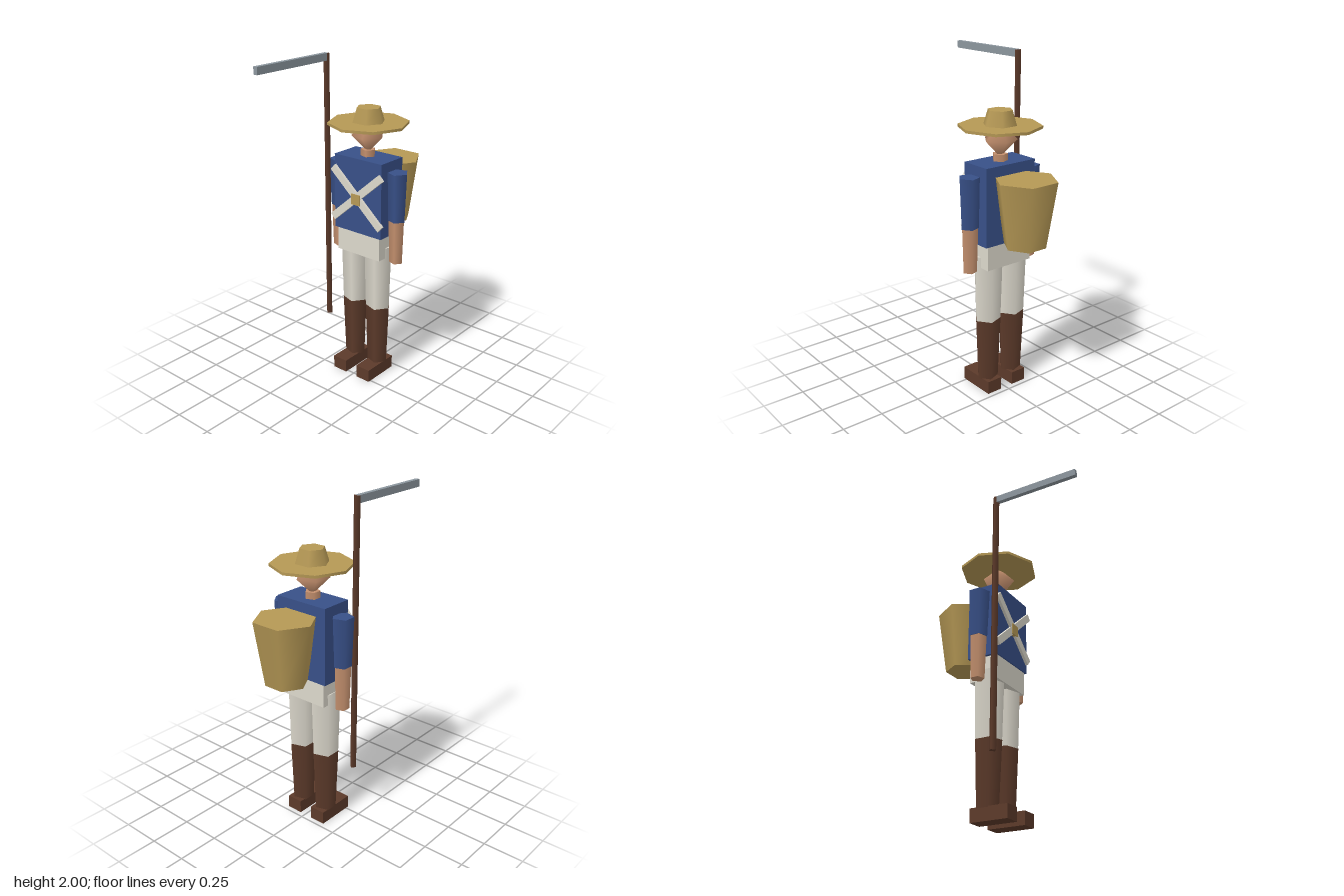
import * as THREE from 'three';

const mat = (name, color) => {
  const m = new THREE.MeshStandardMaterial({ color });
  m.name = name;
  return m;
};

export function createModel() {
  const straw = mat('straw', 0xb59855);
  const blue = mat('blue cloth', 0x385088);
  const cream = mat('cream cloth', 0xdcd8cc);
  const skin = mat('skin', 0xc4906e);
  const brown = mat('brown leather', 0x5c3a2a);
  const steel = mat('steel', 0x8c969e);

  const model = new THREE.Group();
  model.name = 'peasantSoldier';

  // The figure stands slightly off the centre, because of the long blade in front
  const figure = new THREE.Group();
  figure.name = 'figure';
  figure.position.set(-0.007, 0, -0.14);
  model.add(figure);

  const add = (parent, name, geo, material, x, y, z) => {
    const mesh = new THREE.Mesh(geo, material);
    mesh.name = name;
    mesh.position.set(x, y, z);
    parent.add(mesh);
    return mesh;
  };
  const box = (parent, name, material, w, h, d, x, y, z) =>
    add(parent, name, new THREE.BoxGeometry(w, h, d), material, x, y, z);
  // Tapered prism from y0 to y1, with its first corner towards +x
  const prism = (parent, name, material, rTop, rBottom, sides, y0, y1, x = 0, z = 0) =>
    add(parent, name,
      new THREE.CylinderGeometry(rTop, rBottom, y1 - y0, sides, 1, false, Math.PI / 2),
      material, x, (y0 + y1) / 2, z);

  // Trunk
  box(figure, 'torso', blue, 0.35, 0.46, 0.196, 0, 1.185, 0);
  box(figure, 'hips', cream, 0.316, 0.147, 0.18, 0, 0.8835, 0);

  // Legs and arms
  for (const [side, s] of [['left', 1], ['right', -1]]) {
    const leg = 0.09 * s, arm = 0.219 * s;
    prism(figure, side + 'Thigh', cream, 0.09, 0.079, 5, 0.46, 0.875, leg);
    prism(figure, side + 'Boot', brown, 0.08, 0.065, 5, 0.075, 0.465, leg);
    box(figure, side + 'Foot', brown, 0.1, 0.08, 0.238, 0.0925 * s, 0.04, 0.04);
    prism(figure, side + 'Sleeve', blue, 0.064, 0.053, 5, 1.06, 1.355, arm);
    prism(figure, side + 'Forearm', skin, 0.05, 0.042, 5, 0.795, 1.065, arm);
  }

  // Head and neck
  prism(figure, 'neck', skin, 0.045, 0.045, 5, 1.4, 1.455);
  add(figure, 'head', new THREE.SphereGeometry(0.1, 5, 2, Math.PI), skin, 0, 1.535, 0);

  // Straw hat
  prism(figure, 'hatBrim', straw, 0.238, 0.238, 8, 1.602, 1.618);
  prism(figure, 'hatCrown', straw, 0.073, 0.1, 6, 1.615, 1.703);

  // Crossed chest straps with a buckle
  for (const s of [1, -1]) {
    const strap = box(figure, 'chestStrap', cream, 0.475, 0.045, 0.02, 0, 1.18, 0.105);
    strap.rotation.z = s * 0.72;
  }
  box(figure, 'buckle', straw, 0.063, 0.066, 0.03, 0, 1.17, 0.105);

  // Basket on the back
  prism(figure, 'backBasket', straw, 0.183, 0.124, 6, 0.97, 1.355, 0, -0.223);

  // Long scythe
  const scythe = new THREE.Group();
  scythe.name = 'scythe';
  scythe.position.set(-0.227, 0, -0.03);
  model.add(scythe);
  prism(scythe, 'scythePole', brown, 0.022, 0.022, 4, 0.355, 1.998);
  box(scythe, 'scytheBlade', steel, 0.027, 0.043, 0.55, 0, 1.9785, 0.275);

  return model;
}
